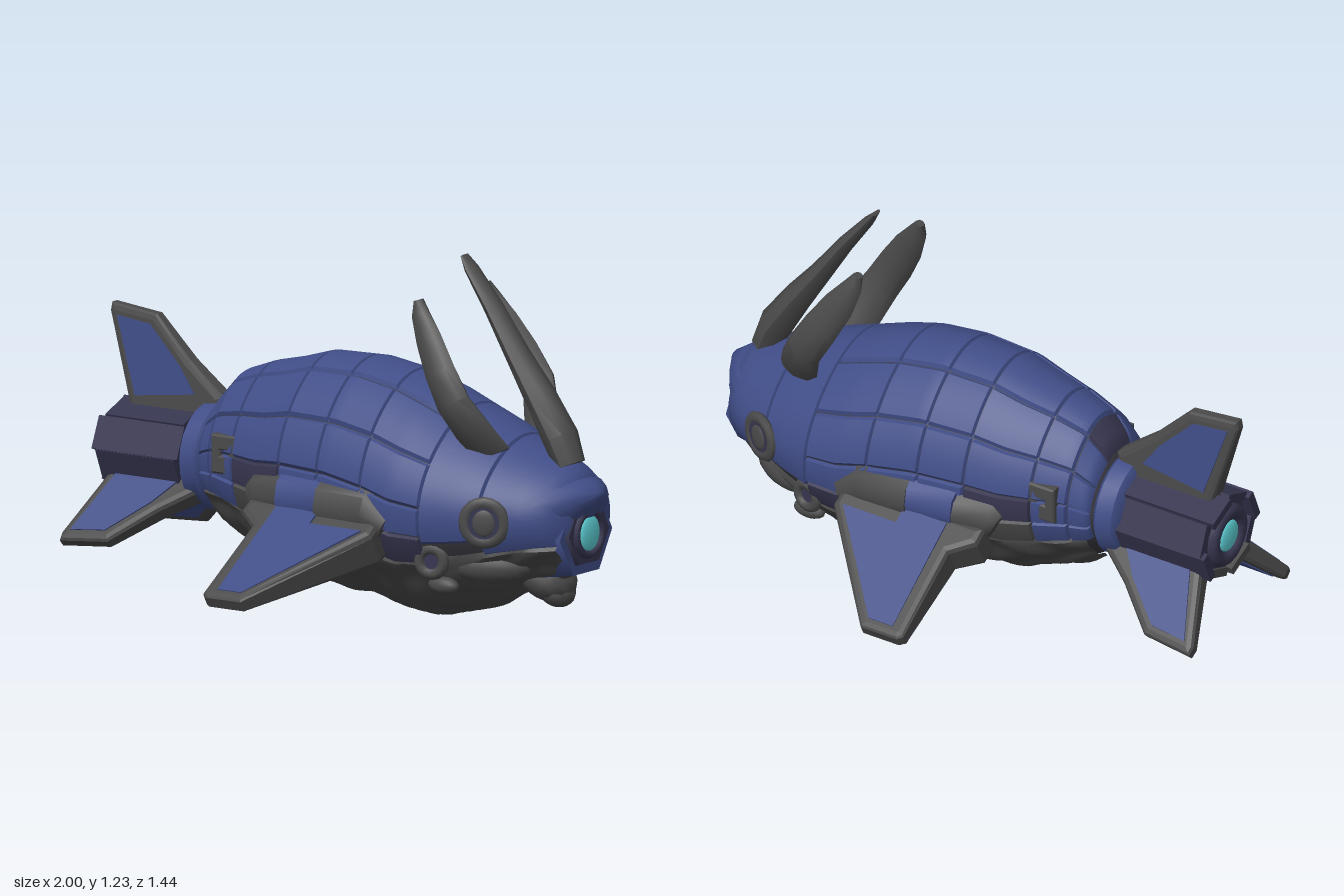
import * as THREE from 'three';
import { toCreasedNormals } from 'three/addons/utils/BufferGeometryUtils.js';

const mat = (name, color) => {
  const m = new THREE.MeshStandardMaterial({ color });
  m.name = name;
  return m;
};
const rad = THREE.MathUtils.degToRad;

// hull stations: x, top y, bottom y, half width
const HULL = [
  [-0.56, 0.5, 0.4, 0.03], [-0.53, 0.62, 0.26, 0.18], [-0.5, 0.68, 0.22, 0.2], [-0.44, 0.745, 0.18, 0.225],
  [-0.33, 0.785, 0.13, 0.26], [-0.22, 0.81, 0.09, 0.29], [-0.1, 0.845, 0.07, 0.315], [0.1, 0.85, 0.05, 0.335],
  [0.26, 0.825, 0.025, 0.35], [0.38, 0.785, 0.005, 0.358], [0.5, 0.735, 0.035, 0.35], [0.62, 0.69, 0.08, 0.315],
  [0.74, 0.635, 0.14, 0.272], [0.86, 0.585, 0.19, 0.215], [0.92, 0.555, 0.21, 0.165], [0.95, 0.5, 0.25, 0.1],
];

// point on the hull at x and angle from the top, moved out by off
function hullPoint(x, deg, off) {
  let i = 0;
  while (i < HULL.length - 2 && x > HULL[i + 1][0]) i++;
  const t = THREE.MathUtils.clamp((x - HULL[i][0]) / (HULL[i + 1][0] - HULL[i][0]), 0, 1);
  const [top, bottom, w] = [1, 2, 3].map(k => THREE.MathUtils.lerp(HULL[i][k], HULL[i + 1][k], t));
  const yc = bottom + (top - bottom) * 0.5 + 0.01;
  const c = Math.cos(rad(deg)), s = Math.sin(rad(deg));
  const pinch = 1 - (c > 0 ? 0.18 : 0.27) * c * c;
  return [x, yc + c * ((c > 0 ? top - yc : yc - bottom) + off), s * (w * pinch + off)];
}

// patch of hull between angles, offset by a rule over u and v
function hullPatch(xs, a0, a1, nv, offset) {
  const pos = [], idx = [], nu = xs.length - 1;
  for (let i = 0; i <= nu; i++) for (let j = 0; j <= nv; j++)
    pos.push(...hullPoint(xs[i], a0 + (a1 - a0) * j / nv, offset(i, j, nu, nv)));
  for (let i = 0; i < nu; i++) for (let j = 0; j < nv; j++) {
    const a = i * (nv + 1) + j, b = a + nv + 1;
    idx.push(a, a + 1, b, a + 1, b + 1, b);
  }
  return finish(pos, idx, 0.7);
}

function finish(pos, idx, crease) {
  const g = new THREE.BufferGeometry();
  g.setAttribute('position', new THREE.Float32BufferAttribute(pos, 3));
  g.setIndex(idx);
  return toCreasedNormals(g, crease);
}

const range = (a, b, n) => Array.from({ length: n + 1 }, (_, i) => a + (b - a) * i / n);

// plate with its rim sunk into the seam
const plate = (x0, x1, a0, a1) => hullPatch(
  [x0 + 0.001, ...range(x0 + 0.006, x1 - 0.006, 8), x1 - 0.001], a0 + 0.2, a1 - 0.2, Math.max(16, Math.round((a1 - a0) / 2)),
  (i, j, nu, nv) => (i === 0 || j === 0 || i === nu || j === nv ? -0.01 : 0.002));

// closed loft through rings [x, y, z, half depth, half width]
function loft(rings, n = 10) {
  const pos = [], idx = [], last = rings.length - 1;
  rings.forEach(([x, y, z, a, b], i) => {
    const p = rings[Math.max(0, i - 1)], q = rings[Math.min(last, i + 1)];
    const len = Math.hypot(q[0] - p[0], q[1] - p[1]), tx = (q[0] - p[0]) / len, ty = (q[1] - p[1]) / len;
    for (let j = 0; j < n; j++) {
      const c = Math.cos(j / n * 2 * Math.PI), s = Math.sin(j / n * 2 * Math.PI);
      pos.push(x - ty * a * c, y + tx * a * c, z + b * s);
      const k = (j + 1) % n, o = i * n;
      if (i < last) idx.push(o + j, o + k, o + n + j, o + k, o + n + k, o + n + j);
    }
  });
  pos.push(...rings[0].slice(0, 3), ...rings[last].slice(0, 3));
  const c0 = (last + 1) * n;
  for (let j = 0; j < n; j++) idx.push(c0, (j + 1) % n, j, c0 + 1, last * n + j, last * n + (j + 1) % n);
  return finish(pos, idx, 0.8);
}

export function createModel() {
  const root = new THREE.Group();
  const blue = mat('hull blue', 0x404d87), grey = mat('iron grey', 0x4a4a4b), navy = mat('dark navy', 0x36354f);
  const dark = mat('seam grey', 0x39383f), cyan = mat('lens cyan', 0x62d8de);
  const add = (name, geo, material, x = 0, y = 0, z = 0, parent = root) => {
    const m = new THREE.Mesh(geo, material);
    m.name = name;
    m.position.set(x, y, z);
    parent.add(m);
    return m;
  };
  const xCylinder = (r0, r1, len, n) => new THREE.CylinderGeometry(r1, r0, len, n).rotateZ(-Math.PI / 2);
  const ball = (a, b, c) => new THREE.SphereGeometry(1, 16, 10).scale(a, b, c);

  // core showing through the seams
  add('hullCore', hullPatch(HULL.map(h => h[0]), 0, 360, 60, () => -0.016), dark);

  // armour plates in rows and columns
  const cols = [-0.52, -0.45, -0.33, -0.1, 0.07, 0.26, 0.5];
  const ridge = [navy, blue, blue, blue, blue, blue];
  const side = [blue, blue, navy, blue, blue, blue], low = [blue, blue, grey, grey, grey, navy];
  for (let i = 0; i < 6; i++) {
    const [x0, x1] = [cols[i], cols[i + 1]];
    add('ridgePlate', plate(x0, x1, -27, 27), ridge[i]);
    for (const s of [1, -1]) {
      const row = (name, a, b, m) => add(name, s > 0 ? plate(x0, x1, a, b) : plate(x0, x1, -b, -a), m);
      row('shoulderPlate', 27, 58, blue);
      row('flankPlate', 58, 84, blue);
      row('sidePlate', 84, 100, side[i]);
      row('lowerPlate', 100, 116, low[i]);
    }
  }

  // lumpy belly
  const bellyXs = range(-0.5, 0.92, 56);
  add('belly', hullPatch(bellyXs, 113, 247, 40, (i, j, nu, nv) => {
    if (j === 0 || j === nv) return -0.014;
    const x = bellyXs[i], v = j / nv;
    return 0.001 + 0.009 * Math.sin(x * 22 + 2 * Math.sin(v * 9)) * Math.sin(v * 24 + 1.5 * Math.sin(x * 8));
  }), grey);

  // head shell, face, brow and muzzle
  add('headShell', plate(0.5, 0.7, -104, 104), blue);
  add('faceShell', plate(0.7, 0.95, -115, 115), blue);
  add('brow', loft([[0.8, 0.415, 0, 0.185, 0.23], [0.87, 0.445, 0, 0.135, 0.2], [0.925, 0.468, 0, 0.082, 0.145],
    [0.965, 0.478, 0, 0.047, 0.085], [0.998, 0.485, 0, 0.012, 0.02]], 18), blue);
  add('muzzle', xCylinder(0.175, 0.148, 0.16, 6), blue, 0.86, 0.342);
  add('muzzleRing', xCylinder(0.125, 0.115, 0.02, 6), navy, 0.942, 0.35);
  add('lensRim', new THREE.TorusGeometry(0.073, 0.014, 8, 20).rotateY(Math.PI / 2), navy, 0.952, 0.35);
  add('noseLens', ball(0.012, 0.061, 0.055), cyan, 0.954, 0.35);
  add('chin', ball(0.11, 0.075, 0.1), grey, 0.78, 0.185).rotation.z = -0.5;
  add('chinTip', ball(0.065, 0.05, 0.07), grey, 0.82, 0.14).rotation.z = -0.6;

  // centre horn
  add('centreHorn', loft([[0.875, 0.57, 0, 0.05, 0.055], [0.835, 0.66, 0, 0.06, 0.065], [0.745, 0.8, 0, 0.05, 0.06],
    [0.66, 0.92, 0, 0.038, 0.05], [0.56, 1.07, 0, 0.028, 0.042], [0.47, 1.19, 0, 0.018, 0.034], [0.44, 1.232, 0, 0.007, 0.022]], 8), grey);

  for (const s of [1, -1]) {
    const turn = a => (s > 0 ? a : Math.PI - a);
    // side horns
    add('sideHorn', loft([[0.66, 0.6, s * 0.14, 0.075, 0.03], [0.62, 0.68, s * 0.19, 0.075, 0.045],
      [0.57, 0.78, s * 0.24, 0.066, 0.045], [0.51, 0.88, s * 0.235, 0.064, 0.036], [0.45, 0.98, s * 0.215, 0.055, 0.03],
      [0.405, 1.06, s * 0.2, 0.035, 0.026], [0.39, 1.105, s * 0.19, 0.016, 0.018]], 8), grey);

    // eye port
    const eye = new THREE.Group();
    eye.name = 'eyePort';
    eye.position.set(0.72, 0.4, s * 0.274);
    eye.rotation.y = turn(0.42);
    root.add(eye);
    add('eyeRing', new THREE.TorusGeometry(0.066, 0.022, 8, 20).scale(1, 1, 0.7), grey, 0, 0, 0, eye);
    add('eyeSocket', new THREE.CircleGeometry(0.06, 20), navy, 0, 0, 0.012, eye);
    add('eyeBall', ball(0.04, 0.046, 0.01), grey, 0, 0, 0.01, eye);

    // small gill port with cheek and jaw
    const gill = new THREE.Group();
    gill.name = 'gillPort';
    gill.position.set(0.52, 0.25, s * 0.295);
    gill.rotation.y = turn(0.25);
    root.add(gill);
    add('gillRing', new THREE.TorusGeometry(0.043, 0.02, 8, 16), grey, 0, 0, 0, gill);
    add('gillHole', new THREE.CircleGeometry(0.04, 16), navy, 0, 0, 0.006, gill);
    add('cheek', ball(0.14, 0.06, 0.06), grey, 0.68, 0.235, s * 0.18).rotation.y = s * 0.4;
    add('jawKnob', ball(0.06, 0.03, 0.03), grey, 0.54, 0.165, s * 0.255);

    // framed hatch
    const hatch = new THREE.Shape([[-0.045, -0.06], [0.045, -0.06], [0.045, 0.06], [-0.045, 0.06]].map(p => new THREE.Vector2(...p)));
    hatch.holes.push(new THREE.Path([[-0.02, -0.01], [-0.02, 0.02], [0.025, 0.02], [0.025, -0.01]].map(p => new THREE.Vector2(...p))));
    add('hatchFrame', new THREE.ExtrudeGeometry(hatch, { depth: 0.035, bevelSize: 0.006, bevelThickness: 0.006, bevelSegments: 1 }),
      grey, -0.37, 0.5, s > 0 ? 0.21 : -0.245);

    // fin shoulder: rear block, blue middle, front block
    add('shoulderRear', loft([[-0.22, 0.38, s * 0.29, 0.05, 0.03], [-0.2, 0.39, s * 0.295, 0.07, 0.04],
      [-0.08, 0.4, s * 0.315, 0.075, 0.04]], 8), grey);
    add('shoulderMiddle', loft([[-0.08, 0.4, s * 0.32, 0.08, 0.04], [0.1, 0.4, s * 0.33, 0.08, 0.042]], 8), blue);
    add('shoulderFront', loft([[0.09, 0.395, s * 0.33, 0.085, 0.048], [0.28, 0.39, s * 0.335, 0.085, 0.046],
      [0.36, 0.35, s * 0.335, 0.05, 0.035]], 8), grey);
  }

  // tapered fin with thin blue side panels
  function fin(name, outline, panel, thick, taper, faces, y, z, angle) {
    const g = new THREE.Group();
    g.name = name;
    g.position.set(0, y, z);
    g.rotation.x = angle;
    root.add(g);
    const shape = pts => new THREE.Shape(pts.map(p => new THREE.Vector2(...p)));
    const narrow = geo => {
      const p = geo.attributes.position;
      for (let i = 0; i < p.count; i++) p.setZ(i, p.getZ(i) * (1 - taper * p.getY(i)));
      geo.computeVertexNormals();
      return geo;
    };
    const b = 0.022;
    add('finFrame', narrow(new THREE.ExtrudeGeometry(shape(outline), {
      depth: thick - 2 * b, bevelSize: b, bevelThickness: b, bevelOffset: -b, bevelSegments: 2,
    }).translate(0, 0, b - thick / 2)), grey, 0, 0, 0, g);
    for (const f of faces) add('finPanel', narrow(new THREE.ExtrudeGeometry(shape(panel), { depth: 0.008, bevelEnabled: false })
      .translate(0, 0, f > 0 ? thick / 2 - 0.001 : -thick / 2 - 0.007)), blue, 0, 0, 0, g);
  }

  // side fins
  for (const s of [1, -1]) fin('sideFin',
    [[-0.2, 0], [-0.2, 0.06], [-0.12, 0.12], [-0.12, 0.45], [-0.1, 0.465], [0.04, 0.465], [0.35, 0.09], [0.34, 0]],
    [[-0.07, 0.03], [-0.07, 0.43], [0.025, 0.43], [0.31, 0.085], [0.1, 0.085], [0.1, 0.03]], 0.15, 1.4, [-s], 0.325, s * 0.3, s * rad(118));

  // tail fins: one up, two splayed down
  for (const s of [0, 1, -1]) fin('tailFin',
    [[-0.9, 0.1], [-1, 0.44], [-0.995, 0.47], [-0.81, 0.45], [-0.67, 0.31], [-0.53, 0.2], [-0.55, 0.1]],
    [[-0.88, 0.17], [-0.965, 0.43], [-0.83, 0.415], [-0.7, 0.285], [-0.64, 0.2]], 0.1, 1.1, [1, -1],
    s ? 0.47 : 0.44, -s * 0.03, s * rad(135));

  // tail neck, hub and rear thruster
  add('tailNeck', loft([[-0.615, 0.44, 0, 0.16, 0.16], [-0.6, 0.44, 0, 0.18, 0.18], [-0.54, 0.44, 0, 0.185, 0.185],
    [-0.525, 0.44, 0, 0.17, 0.17]], 24), blue);
  add('tailHub', xCylinder(0.13, 0.14, 0.34, 8), navy, -0.77, 0.44);
  for (let i = 0; i < 8; i++) {
    const a = (i + 0.5) / 8 * 2 * Math.PI;
    add('hubSlab', new THREE.BoxGeometry(0.32 + 0.03 * (i % 2), 0.03, 0.115), Math.cos(a) < -0.8 ? grey : navy,
      -0.79, 0.44 + 0.128 * Math.cos(a), 0.15 * Math.sin(a)).rotation.x = a;
  }
  add('thrusterRing', new THREE.TorusGeometry(0.085, 0.028, 8, 16).rotateY(Math.PI / 2), navy, -0.94, 0.44);
  add('thrusterBack', xCylinder(0.09, 0.09, 0.02, 16), navy, -0.94, 0.44);
  add('thrusterLens', ball(0.012, 0.056, 0.056), cyan, -0.952, 0.44);

  return root;
}
